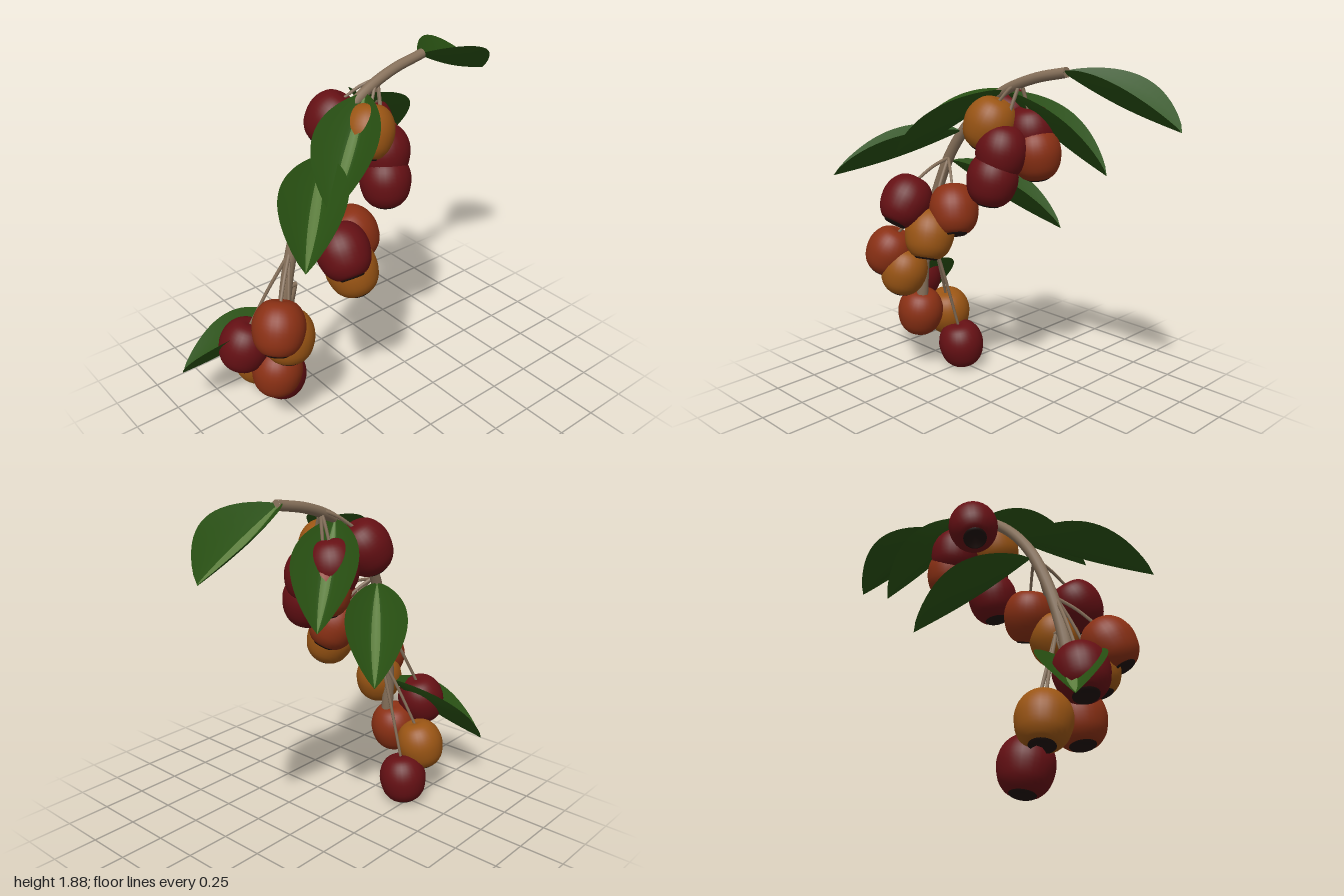
import * as THREE from 'three';

const mat = (name, color, side = THREE.FrontSide) => {
  const m = new THREE.MeshStandardMaterial({ color, side });
  m.name = name;
  return m;
};
const V = (x, y, z) => new THREE.Vector3(x, y, z);
const UP = V(0, 1, 0);

export function createModel() {
  const model = new THREE.Group();
  model.name = 'fruitBranch';

  const bark = mat('bark', 0x86705a);
  const leafGreen = mat('leafGreen', 0x285012, THREE.DoubleSide);
  const veinGreen = mat('veinGreen', 0x5c7d3e);
  const darkRed = mat('darkRed', 0x651014);
  const rust = mat('rust', 0x8a3014);
  const amber = mat('amber', 0x9a5514);
  const calyxDark = mat('calyxDark', 0x1e100c, THREE.DoubleSide);

  const add = (parent, name, geometry, material) => {
    const mesh = new THREE.Mesh(geometry, material);
    mesh.name = name;
    parent.add(mesh);
    return mesh;
  };

  // Tube whose radius runs from r0 to r1, closed with discs
  function taperedTube(parent, name, points, r0, r1, segments, sides) {
    const curve = new THREE.CatmullRomCurve3(points);
    const geo = new THREE.TubeGeometry(curve, segments, 1, sides);
    const pos = geo.attributes.position;
    const p = V(0, 0, 0);
    for (let i = 0; i < pos.count; i++) {
      const t = Math.floor(i / (sides + 1)) / segments;
      const c = curve.getPointAt(t);
      p.fromBufferAttribute(pos, i).sub(c).multiplyScalar(r0 + (r1 - r0) * t).add(c);
      pos.setXYZ(i, p.x, p.y, p.z);
    }
    add(parent, name, geo, bark);
    for (const [t, r, sign] of [[0, r0, -1], [1, r1, 1]]) {
      const cap = add(parent, name + 'End', new THREE.CircleGeometry(r, sides), bark);
      cap.position.copy(curve.getPointAt(t));
      cap.quaternion.setFromUnitVectors(V(0, 0, 1), curve.getTangentAt(t).multiplyScalar(sign));
    }
  }

  // Main arching branch
  taperedTube(model, 'branch', [
    V(-0.58, 0.5, -0.01), V(-0.57, 0.7, -0.02), V(-0.53, 0.92, -0.03), V(-0.46, 1.15, -0.04),
    V(-0.36, 1.38, -0.06), V(-0.2, 1.58, -0.075), V(0, 1.73, -0.09), V(0.2, 1.81, -0.1), V(0.41, 1.855, -0.1),
  ], 0.034, 0.026, 48, 12);

  // Leaf: a pointed blade folded upward along its midrib
  function leafBlade(base, tip, spread, lift, columns) {
    const span = tip.clone().sub(base);
    const dir = span.clone().normalize();
    const side = dir.clone().cross(UP).normalize();
    const up = side.clone().cross(dir);
    const geo = new THREE.PlaneGeometry(1, 1, columns, 20);
    const pos = geo.attributes.position;
    for (let i = 0; i < pos.count; i++) {
      const s = pos.getX(i) * 2 * spread;
      const t = pos.getY(i) + 0.5;
      const bell = Math.sin(Math.PI * Math.min(Math.max(t, 0), 1));
      const w = 0.16 * Math.pow(Math.max(bell, 0), 0.8);
      const h = 0.8 * w * Math.pow(Math.abs(s), 1.2) - 0.02 * bell + lift;
      const p = base.clone().addScaledVector(span, t).addScaledVector(side, s * w).addScaledVector(up, h);
      pos.setXYZ(i, p.x, p.y, p.z);
    }
    geo.computeVertexNormals();
    return geo;
  }

  const leaves = [
    [V(0.38, 1.855, -0.1), V(0.99, 1.62, -0.22)],
    [V(0.0, 1.73, -0.1), V(0.45, 1.31, -0.39)],
    [V(-0.38, 1.32, -0.07), V(0.1, 0.95, -0.45)],
    [V(-0.27, 1.5, -0.05), V(-0.75, 1.26, 0.455)],
    [V(0.02, 1.74, -0.08), V(-0.46, 1.37, 0.26)],
    [V(-0.57, 0.69, -0.03), V(-0.98, 0.29, -0.42)],
  ];
  for (const [base, tip] of leaves) {
    const leaf = new THREE.Group();
    leaf.name = 'leaf';
    add(leaf, 'blade', leafBlade(base, tip, 1, 0, 8), leafGreen);
    add(leaf, 'midrib', leafBlade(base, tip, 0.15, 0.005, 2), veinGreen);
    model.add(leaf);
  }

  // Fruit body and the dark sunken calyx at its lower end
  const v2 = (list) => list.map(([x, y]) => new THREE.Vector2(x, y));
  const outline = new THREE.SplineCurve(v2([
    [0.055, -0.134], [0.085, -0.12], [0.118, -0.075], [0.134, 0], [0.123, 0.065],
    [0.09, 0.115], [0.045, 0.136], [0, 0.13],
  ])).getPoints(24);
  outline[outline.length - 1].x = 0;
  const bodyGeo = new THREE.LatheGeometry(outline, 28);
  const calyxGeo = new THREE.LatheGeometry(v2([
    [0, -0.112], [0.035, -0.118], [0.052, -0.14], [0.06, -0.136], [0.066, -0.127],
  ]), 28);

  // Clusters: a node on the branch and the fruits hanging from it
  const clusters = [
    [V(0.11, 1.79, -0.1), [
      [-0.02, 1.57, -0.01, amber], [-0.09, 1.59, -0.22, darkRed], [0.11, 1.52, -0.18, darkRed],
      [0.155, 1.42, -0.17, rust], [0.05, 1.3, 0.04, darkRed], [0.075, 1.44, 0.0, darkRed],
    ]],
    [V(-0.37, 1.34, -0.04), [
      [-0.39, 1.145, 0.25, darkRed], [-0.2, 1.1, 0.08, rust], [-0.285, 0.97, 0.18, amber],
    ]],
    [V(-0.51, 1.05, -0.03), [
      [-0.7, 0.77, 0.13, rust], [-0.62, 0.66, 0.09, amber], [-0.75, 0.54, -0.13, darkRed],
    ]],
    [V(-0.49, 0.86, -0.02), [
      [-0.625, 0.375, -0.03, rust], [-0.61, 0.325, -0.235, amber], [-0.475, 0.15, -0.22, darkRed],
    ]],
  ];
  for (const [node, fruits] of clusters) {
    const cluster = new THREE.Group();
    cluster.name = 'fruitCluster';
    for (const [x, y, z, skin] of fruits) {
      const centre = V(x, y, z);
      // Fruit axis lies between the stalk direction and straight up
      const axis = node.clone().sub(centre).normalize().addScaledVector(UP, 0.6).normalize();
      const fruit = new THREE.Group();
      fruit.name = 'fruit';
      add(fruit, 'fruitBody', bodyGeo, skin);
      add(fruit, 'calyx', calyxGeo, calyxDark);
      fruit.position.copy(centre);
      fruit.quaternion.setFromUnitVectors(UP, axis);
      cluster.add(fruit);
      const top = centre.clone().addScaledVector(axis, 0.125);
      const mid = node.clone().lerp(top, 0.5).addScaledVector(UP, 0.012);
      taperedTube(cluster, 'stalk', [node, mid, top], 0.01, 0.008, 10, 6);
    }
    model.add(cluster);
  }

  // Stub joining the low stalks to the branch
  taperedTube(model, 'spur', [V(-0.55, 0.84, -0.025), V(-0.52, 0.86, -0.022), V(-0.485, 0.862, -0.02)], 0.014, 0.012, 6, 8);

  return model;
}
